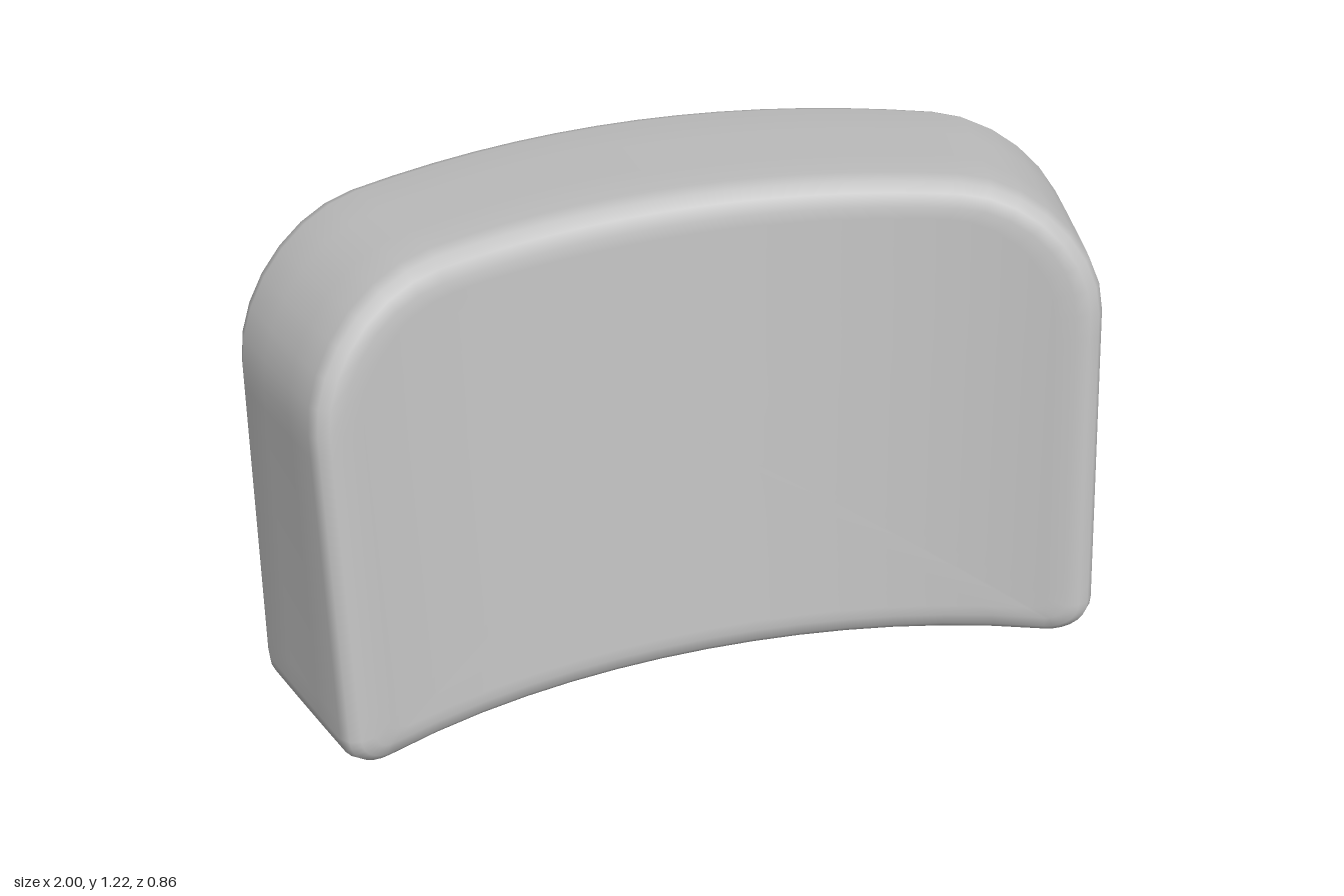
import * as THREE from 'three';

const BOTTOM = 0.026, TOP = 1.207, FRONT = 0.225, BACK = -0.305;
const lerp = THREE.MathUtils.lerp;

// Rounded outline, counter-clockwise from the front: wide top corners, tight bottom ones
function outline(halfWidth, inset) {
  const w = halfWidth - inset, y0 = BOTTOM + inset, y1 = TOP - inset;
  const rb = Math.max(0.1 - inset, 0.03), rt = 0.3 - inset;
  const corners = [
    [w - rb, y0 + rb, rb, -0.5], [w - rt, y1 - rt, rt, 0],
    [-w + rt, y1 - rt, rt, 0.5], [-w + rb, y0 + rb, rb, 1],
  ];
  const arcs = corners.map(([cx, cy, r, start]) => Array.from({ length: 8 }, (_, i) => {
    const a = (start + i / 14) * Math.PI;
    return [cx + r * Math.cos(a), cy + r * Math.sin(a)];
  }));
  const points = [];
  arcs.forEach((arc, k) => {
    points.push(...arc);
    const p = arc[arc.length - 1], q = arcs[(k + 1) % 4][0];
    for (let i = 1; i < 14; i++) points.push([lerp(p[0], q[0], i / 14), lerp(p[1], q[1], i / 14)]);
  });
  return points;
}

function cushionGeometry() {
  // Rings from front centre to back centre: depth, inset, shrink
  const rings = [];
  const caps = Array.from({ length: 20 }, (_, i) => i / 20);
  caps.forEach(s => rings.push([FRONT, 0.06, s]));
  rings.push([FRONT, 0.06, 1], [0.215, 0.03, 1], [0.195, 0.01, 1], [0.165, 0, 1], [0.05, 0, 1],
    [-0.1, 0, 1], [-0.235, 0, 1], [-0.27, 0.01, 1], [-0.293, 0.03, 1], [BACK, 0.06, 1]);
  [...caps].reverse().forEach(s => rings.push([BACK, 0.06, s]));

  const positions = [], index = [];
  const mid = (BOTTOM + TOP) / 2;
  rings.forEach(([depth, inset, shrink], i) => {
    const t = (FRONT - depth) / (FRONT - BACK);
    const loop = outline(lerp(0.875, 1.025, t), inset);
    const n = loop.length;
    loop.forEach(([px, py], j) => {
      const flatY = mid + (py - mid) * shrink;
      // Sides narrow upwards, the top edge is slightly crowned
      const x = px * shrink * (1 - lerp(0.018, 0.045, t) * flatY);
      const y = flatY - 0.065 * x * x * flatY / TOP;
      // Bend the slab so that its ends come forward, the front more than the back
      positions.push(x, y, depth + lerp(0.24, 0.25, t) * x * x + lerp(0.06, 0, t) * x ** 4);
      if (i === rings.length - 1) return;
      const a = i * n + j, b = i * n + (j + 1) % n;
      index.push(a, a + n, b + n, a, b + n, b);
    });
  });
  const g = new THREE.BufferGeometry();
  g.setAttribute('position', new THREE.Float32BufferAttribute(positions, 3));
  g.setIndex(index);

  // Lean back, turn slightly, then centre on the ground
  g.rotateX(-0.113);
  g.rotateY(-0.028);
  g.computeBoundingBox();
  const { min, max } = g.boundingBox;
  g.translate(-(min.x + max.x) / 2, -min.y, -(min.z + max.z) / 2);
  g.computeVertexNormals();
  return g;
}

export function createModel() {
  const group = new THREE.Group();
  group.name = 'backrest';
  const fabric = new THREE.MeshStandardMaterial({ color: 0xc0c0c0 });
  fabric.name = 'light grey fabric';
  const cushion = new THREE.Mesh(cushionGeometry(), fabric);
  cushion.name = 'backCushion';
  group.add(cushion);
  return group;
}
